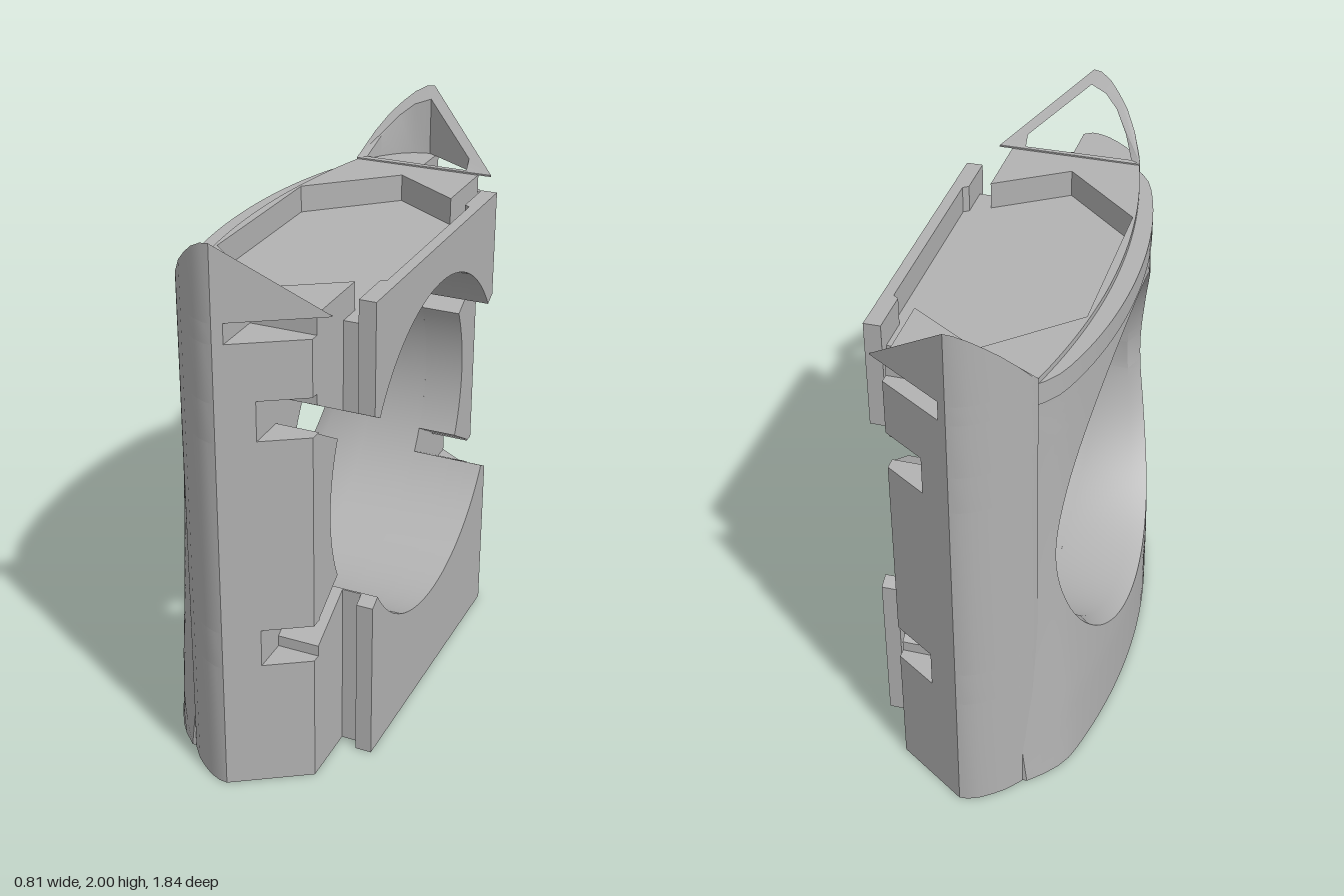
import * as THREE from 'three';
import { toCreasedNormals } from 'three/addons/utils/BufferGeometryUtils.js';

const CY = 0.975, R = 0.62, FLOOR = 1.64, TOP = 1.74;

// Depth of the bulged, slightly scooped face at a given height and z
function bulge(y, z) {
  const a = Math.abs(z), e = Math.max(0, a - 0.6);
  const scoop = 0.06 * Math.pow(a / 0.78, 4) * Math.max(0, 1 - Math.pow(y - 1, 2));
  return -0.41 + 0.22 * z * z + 2.3 * e * e + scoop + 0.04 * Math.max(0, (y - 0.3) / 1.44);
}

export function createModel() {
  const group = new THREE.Group();
  const grey = new THREE.MeshStandardMaterial({ color: 0xb2b2b2 });
  grey.name = 'grey';

  function add(name, geometry) {
    const mesh = new THREE.Mesh(toCreasedNormals(geometry, 0.5), grey);
    mesh.name = name;
    group.add(mesh);
  }
  const shapeOf = pts => new THREE.Shape(pts.map(p => new THREE.Vector2(p[0], p[1])));
  const extrude = (shape, depth) =>
    new THREE.ExtrudeGeometry(shape, { depth, bevelEnabled: false, curveSegments: 64 });
  // Side profile (z, y) extruded along x
  const alongX = (shape, x0, x1) => extrude(shape, x1 - x0).rotateY(Math.PI / 2).translate(x0, 0, 0);
  // Plan (x, z) extruded along y
  const alongY = (shape, y0, y1) => extrude(shape, y1 - y0).rotateX(-Math.PI / 2).translate(0, y0, 0);

  // Arc of the big bore in (z, y)
  function arc(a0, a1, n = 40) {
    return Array.from({ length: n + 1 }, (_, i) => {
      const a = a0 + (a1 - a0) * i / n;
      return [R * Math.cos(a), CY + R * Math.sin(a)];
    });
  }
  const flip = pts => pts.map(([z, y]) => [z, 2 * CY - y]);

  // Piece above the bore, its lower corners cut by the diagonal grooves
  const A = Math.atan2(0.345, 0.52), B = Math.atan2(0.26, 0.56);
  function above(w, top) {
    const y = 1.32 + (w - 0.52) * 0.55;
    return [[w, top], [w, y], ...arc(A, Math.PI - A), [-w, y], [-w, top]];
  }
  function layer(name, w, top, x0, x1) {
    add(name + 'Upper', alongX(shapeOf(above(w, top)), x0, x1));
    add(name + 'Lower', alongX(shapeOf(flip(above(w, 2 * CY))), x0, x1));
  }

  // Core block with the bore
  const core = shapeOf([[-0.72, 0], [0.72, 0], [0.72, FLOOR], [-0.72, FLOOR]]);
  core.holes.push(new THREE.Path().absarc(0, CY, R, 0, Math.PI * 2, true));
  add('core', alongX(core, -0.1, 0.12));

  // Grooved block, spacer slab and mounting plate
  layer('groovedBlock', 0.72, FLOOR, 0.12, 0.27);
  for (const s of [-1, 1]) {
    const side = [[0.72, 1.33], ...arc(B, -B, 24), [0.72, 0.62]].map(([z, y]) => [z * s, y]);
    add('grooveSide', alongX(shapeOf(side), 0.12, 0.27));
  }
  layer('spacerSlab', 0.52, FLOOR, 0.27, 0.34);
  layer('mountingPlate', 0.56, FLOOR, 0.34, 0.4);
  add('plateRim', alongY(shapeOf([
    [0.4, -0.56], [0.4, 0.56], [0.34, 0.56], [0.34, 0.39], [0.36, 0.375],
    [0.36, -0.375], [0.34, -0.39], [0.34, -0.56]]), FLOOR, TOP));

  // Bulged face: rings running from the bore wall, over a chamfer, to the outer edge
  const W = 0.78, N = 32, edge = [];
  const corners = [[W, 0], [W, FLOOR], [-W, FLOOR], [-W, 0]];
  for (let c = 0; c < 4; c++) {
    const p = corners[c], q = corners[(c + 1) % 4];
    for (let i = 0; i < N; i++) {
      const t = i / N;
      edge.push([p[0] + (q[0] - p[0]) * t, p[1] + (q[1] - p[1]) * t]);
    }
  }
  const pos = [], index = [], M = edge.length, STEPS = 10;
  function ring(place) {
    for (const [ez, ey] of edge) {
      const d = Math.hypot(ez, ey - CY);
      pos.push(...place(ez / d, (ey - CY) / d, ez, ey));
    }
  }
  const RIM = 0.645;
  ring((c, s) => [-0.1, CY + R * s, R * c]);
  ring((c, s) => [bulge(CY + R * s, R * c) + 0.06, CY + R * s, R * c]);
  for (let j = 0; j <= STEPS; j++) {
    const t = j / STEPS;
    ring((c, s, ez, ey) => {
      const z = RIM * c * (1 - t) + ez * t, y = (CY + RIM * s) * (1 - t) + ey * t;
      return [bulge(y, z), y, z];
    });
  }
  ring((c, s, ez, ey) => [-0.1, ey, ez]);
  for (let j = 0; j < STEPS + 3; j++) {
    for (let i = 0; i < M; i++) {
      const k = (i + 1) % M, a = j * M + i, b = a + M, c = (j + 1) * M + k, d = j * M + k;
      index.push(a, b, c, a, c, d);
    }
  }
  const face = new THREE.BufferGeometry();
  face.setAttribute('position', new THREE.Float32BufferAttribute(pos, 3));
  face.setIndex(index);
  add('bulgedFace', face);

  // Top frame around the open hexagonal pocket, with a small stepped ledge
  function frame(name, w, fx, y0, y1) {
    const pts = [[0.27, -0.43], [0.01, -0.6], [-0.28, -0.33], [-0.28, 0.33], [0.01, 0.6], [0.27, 0.43], [0.27, 0.72]];
    if (w > 0.72) pts.push([-0.1, 0.72], [-0.1, w]);
    for (let i = 0; i <= 32; i++) {
      const z = w * (1 - i / 16);
      pts.push([fx(z), z]);
    }
    if (w > 0.72) pts.push([-0.1, -w], [-0.1, -0.72]);
    pts.push([0.27, -0.72]);
    add(name, alongY(shapeOf(pts), y0, y1));
  }
  frame('topFrame', 0.78, z => bulge(1.68, z) - 0.005, FLOOR, 1.72);
  frame('topLedge', 0.72, z => -0.31 + 0.18 * z * z, 1.72, TOP);

  // Side pods, stacked in layers so the clip notches stay open
  const curve = [[-0.02, 0.917], [-0.06, 0.9], [-0.1, 0.872], [-0.14, 0.838], [-0.18, 0.79], [-0.21, 0.74], [-0.222, 0.71]];
  const pod = x => [[x, 0.71], [x, 0.92 - 0.645 * (x - 0.01)], [0.01, 0.92], ...curve];
  const layers = [[0, 0.48, 0.27], [0.48, 0.62, 0.12], [0.62, 1.33, 0.27], [1.33, 1.47, 0.12],
    [1.47, 1.67, 0.27], [1.67, TOP, 0.04]];
  for (const s of [-1, 1]) {
    const mirror = pts => pts.map(([x, z]) => [x, z * s]);
    for (const [y0, y1, x] of layers) add('sidePod', alongY(shapeOf(mirror(pod(x))), y0, y1));

    // Hollow wing, its top sliced by a slope that rises outwards
    const wing = shapeOf(mirror([[0.32, 0.715], [0.32, 0.72], [0.01, 0.92], ...curve]));
    wing.holes.push(new THREE.Path(mirror([[0.22, 0.724], [0.22, 0.752], [0.01, 0.885], [-0.05, 0.868],
      [-0.1, 0.835], [-0.15, 0.78], [-0.185, 0.724]]).map(p => new THREE.Vector2(...p))));
    const geo = alongY(wing, TOP, 2), p = geo.attributes.position;
    for (let i = 0; i < p.count; i++) {
      if (p.getY(i) > 1.9) p.setY(i, TOP + 0.005 + 1.275 * Math.max(0, Math.abs(p.getZ(i)) - 0.72));
    }
    add('wing', geo);
  }
  return group;
}
